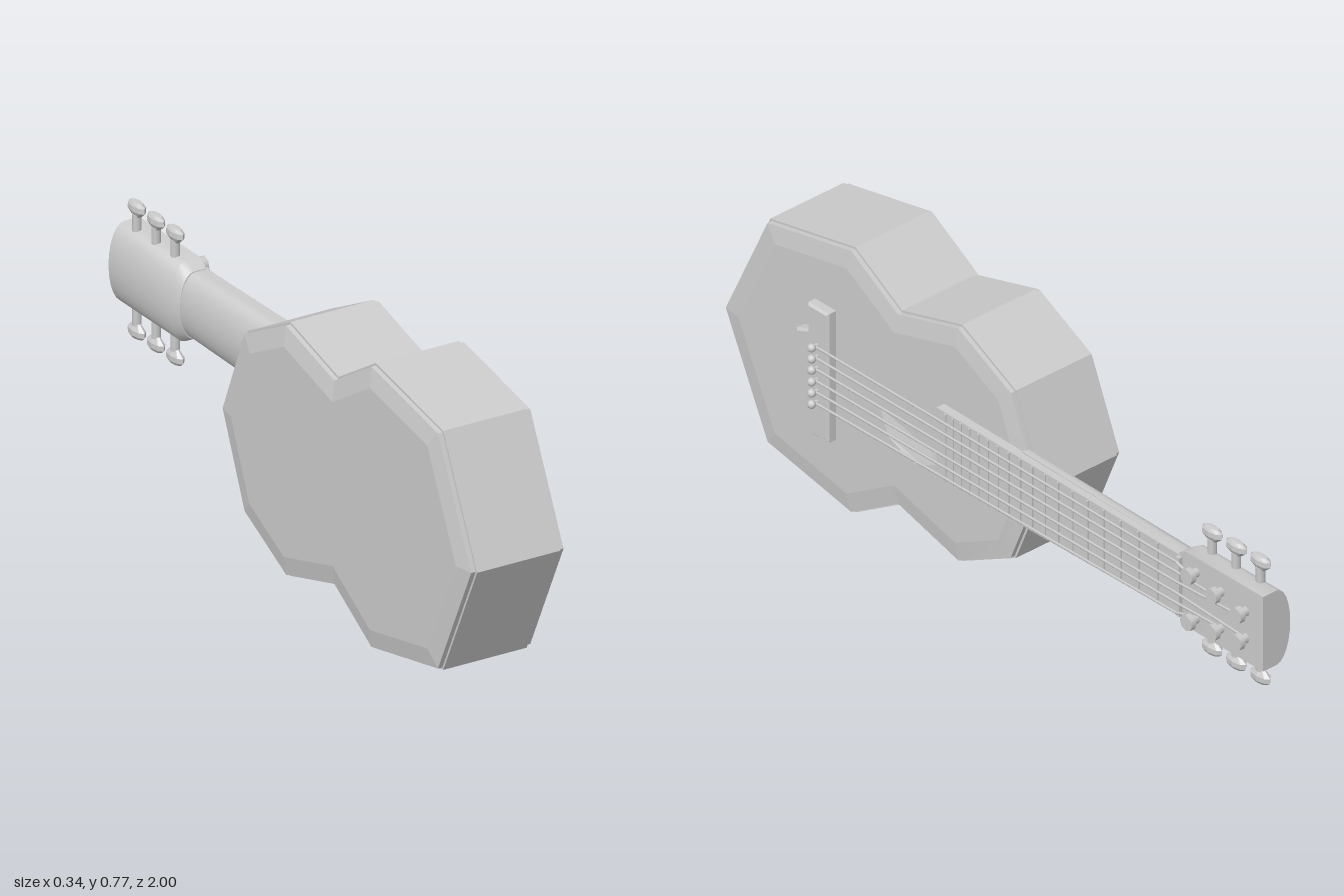
import * as THREE from 'three';
import { toCreasedNormals } from 'three/addons/utils/BufferGeometryUtils.js';

// Local frame: u along the neck, v across it, w out of the soundboard.
const MID = 0.385; // height of the centre line
const V3 = (u, v, w) => new THREE.Vector3(u, v, w);
const material = new THREE.MeshStandardMaterial({ color: 0xcccccc, side: THREE.DoubleSide });

function add(parent, name, geometry) {
  const mesh = new THREE.Mesh(geometry, material);
  mesh.name = name;
  parent.add(mesh);
  return mesh;
}

// Skin a series of closed rings; optional fan caps at both ends.
function loft(rings, capStart, capEnd, crease = 0.1) {
  const pos = [];
  const tri = (...pts) => pts.forEach((p) => pos.push(p.x, p.y, p.z));
  const n = rings[0].length;
  for (let i = 0; i < rings.length - 1; i++) {
    for (let j = 0; j < n; j++) {
      const k = (j + 1) % n;
      const a = rings[i][j], b = rings[i][k], c = rings[i + 1][k], d = rings[i + 1][j];
      tri(a, b, c);
      tri(a, c, d);
    }
  }
  const cap = (ring, flip) => {
    const mid = ring.reduce((s, p) => s.add(p), V3(0, 0, 0)).divideScalar(n);
    ring.forEach((p, j) => {
      const q = ring[(j + 1) % n];
      if (flip) tri(mid, q, p);
      else tri(mid, p, q);
    });
  };
  if (capStart) cap(rings[0], true);
  if (capEnd) cap(rings[rings.length - 1], false);
  const g = new THREE.BufferGeometry();
  g.setAttribute('position', new THREE.Float32BufferAttribute(pos, 3));
  return toCreasedNormals(g, crease);
}

// Move every edge of a counter-clockwise outline inwards by d.
function inset(points, d) {
  const n = points.length;
  const normal = (a, b) => new THREE.Vector2(a.y - b.y, b.x - a.x).normalize();
  return points.map((p, i) => {
    const n1 = normal(points[(i + n - 1) % n], p);
    const n2 = normal(p, points[(i + 1) % n]);
    const m = n1.clone().add(n2);
    return p.clone().addScaledVector(m, d / (1 + n1.dot(n2)));
  });
}

// Section with a flat front and a rounded back, set across the neck at u.
function dSection(u, half, front, side, back) {
  const ring = [V3(u, MID + half, side), V3(u, MID + half, front), V3(u, MID - half, front)];
  for (let i = 0; i < 12; i++) {
    const t = Math.PI * (1 + i / 12);
    ring.push(V3(u, MID + half * Math.cos(t), side + (side - back) * Math.sin(t)));
  }
  return ring;
}

function rod(parent, name, a, b, r, sides = 8) {
  const mesh = add(parent, name, new THREE.CylinderGeometry(r, r, a.distanceTo(b), sides));
  mesh.position.copy(a).lerp(b, 0.5);
  mesh.quaternion.setFromUnitVectors(V3(0, 1, 0), b.clone().sub(a).normalize());
  return mesh;
}

function box(parent, name, u, v, w, su, sv, sw) {
  add(parent, name, new THREE.BoxGeometry(su, sv, sw)).position.set(u, v, w);
}

function buildBody(g) {
  const half = [[-1, 0], [-0.845, 0.323], [-0.535, 0.385], [-0.365, 0.281],
    [-0.145, 0.343], [0.05, 0.243], [0.152, 0]];
  const outline = half.map(([u, h]) => new THREE.Vector2(u, MID - h));
  half.slice(1, -1).reverse().forEach(([u, h]) => outline.push(new THREE.Vector2(u, MID + h)));

  // sides, bindings and gently sloped rims, as [w, inset]
  const steps = [[-0.175, 0.055], [-0.165, 0.006], [-0.152, 0.006], [-0.152, 0],
    [0.09, 0], [0.09, 0.006], [0.103, 0.006], [0.11, 0.055]];
  const rings = steps.map(([w, d]) => inset(outline, d).map((p) => V3(p.x, p.y, w)));
  add(g, 'body', loft(rings, true, false));

  // soundboard with an eight-sided sound hole
  const top = new THREE.Shape(inset(outline, 0.055));
  const hole = [];
  for (let i = 0; i < 8; i++) {
    const t = -i * Math.PI / 4;
    hole.push(new THREE.Vector2(-0.303 + 0.127 * Math.cos(t), MID + 0.127 * Math.sin(t)));
  }
  top.holes.push(new THREE.Path(hole));
  add(g, 'soundboard', new THREE.ShapeGeometry(top)).position.z = 0.11;
}

function buildBridge(g) {
  const pts = [[-0.588, -0.181], [-0.588, 0.181], [-0.653, 0.181], [-0.653, 0.105],
    [-0.694, 0.09], [-0.694, -0.09], [-0.653, -0.105], [-0.653, -0.181]];
  const shape = new THREE.Shape(pts.map(([u, v]) => new THREE.Vector2(u, MID + v)));
  const geo = new THREE.ExtrudeGeometry(shape, {
    depth: 0.022, bevelSize: 0.006, bevelThickness: 0.006, bevelSegments: 1,
  });
  add(g, 'bridge', geo).position.z = 0.111;
}

function buildNeck(g) {
  add(g, 'neck', loft([
    dSection(0.1, 0.1, 0.115, 0.1, 0.06),
    dSection(0.7, 0.088, 0.115, 0.1, 0.057),
  ], true, true, 0.6));
  add(g, 'headstock', loft([
    dSection(0.69, 0.09, 0.132, 0.095, 0.056),
    dSection(0.72, 0.108, 0.135, 0.09, 0.045),
    dSection(1, 0.108, 0.135, 0.09, 0.045),
  ], true, true, 0.6));

  const board = new THREE.Shape([[-0.19, -0.101], [0.7, -0.088], [0.7, 0.088], [-0.19, 0.101]]
    .map(([u, v]) => new THREE.Vector2(u, MID + v)));
  const geo = new THREE.ExtrudeGeometry(board, { depth: 0.025, bevelEnabled: false });
  add(g, 'fretboard', geo).position.z = 0.11;

  // frets spaced by equal temperament
  for (let n = 1; n <= 18; n++) {
    const u = 0.69 - 1.31 * (1 - Math.pow(2, -n / 12));
    box(g, 'fret', u, MID, 0.135, 0.007, 2 * (0.098 - 0.0145 * (u + 0.19)), 0.008);
  }
  box(g, 'nut', 0.697, MID, 0.136, 0.014, 0.17, 0.016);
}

function buildTuners(g) {
  const profile = [[0, 0], [0.016, 0], [0.036, 0.016], [0.035, 0.03], [0.024, 0.038], [0, 0.04]]
    .map(([x, y]) => new THREE.Vector2(x, y));
  const button = toCreasedNormals(new THREE.LatheGeometry(profile, 8), 0.5);
  [-1, 1].forEach((side) => [0, 1, 2].forEach((i) => {
    const tuner = new THREE.Group();
    tuner.name = 'tuner';
    g.add(tuner);
    const u = 0.765 + 0.088 * i;
    rod(tuner, 'tunerShaft', V3(u, MID + side * 0.09, 0.09), V3(u, MID + side * 0.15, 0.09), 0.012);
    const knob = add(tuner, 'tunerButton', button);
    knob.position.set(u, MID + side * 0.145, 0.09);
    knob.scale.set(1, 1, 0.42);
    if (side < 0) knob.rotation.x = Math.PI;

    // string post with a wider cap
    const pu = 0.757 + 0.09 * i, pv = MID + side * (0.067 - 0.014 * i);
    rod(tuner, 'post', V3(pu, pv, 0.13), V3(pu, pv, 0.155), 0.013);
    rod(tuner, 'postCap', V3(pu, pv, 0.154), V3(pu, pv, 0.17), 0.022);
  }));
}

function buildStrings(g) {
  [-1, 1].forEach((side) => [0, 1, 2].forEach((i) => {
    // the outermost string reaches the nearest post
    const v0 = MID + side * (0.082 - 0.0325 * i);
    const v1 = MID + side * (0.074 - 0.029 * i);
    const pv = MID + side * (0.067 - 0.014 * i - 0.012);
    const start = V3(-0.62, v0, 0.147), nut = V3(0.697, v1, 0.147);
    rod(g, 'string', start, nut, 0.0038, 6);
    rod(g, 'string', nut, V3(0.757 + 0.09 * i, pv, 0.148), 0.0038, 6);
    rod(g, 'bridgePin', V3(-0.62, v0, 0.13), V3(-0.62, v0, 0.157), 0.006);
    add(g, 'bridgePinHead', new THREE.SphereGeometry(0.0115, 10, 8)).position.set(-0.62, v0, 0.158);
  }));
}

export function createModel() {
  const root = new THREE.Group();
  root.name = 'guitar';
  const g = new THREE.Group();
  g.name = 'instrument';
  // stand the guitar on its side: soundboard to +x, neck to -z
  g.rotation.y = Math.PI / 2;
  root.add(g);
  buildBody(g);
  buildBridge(g);
  buildNeck(g);
  buildTuners(g);
  buildStrings(g);
  return root;
}
